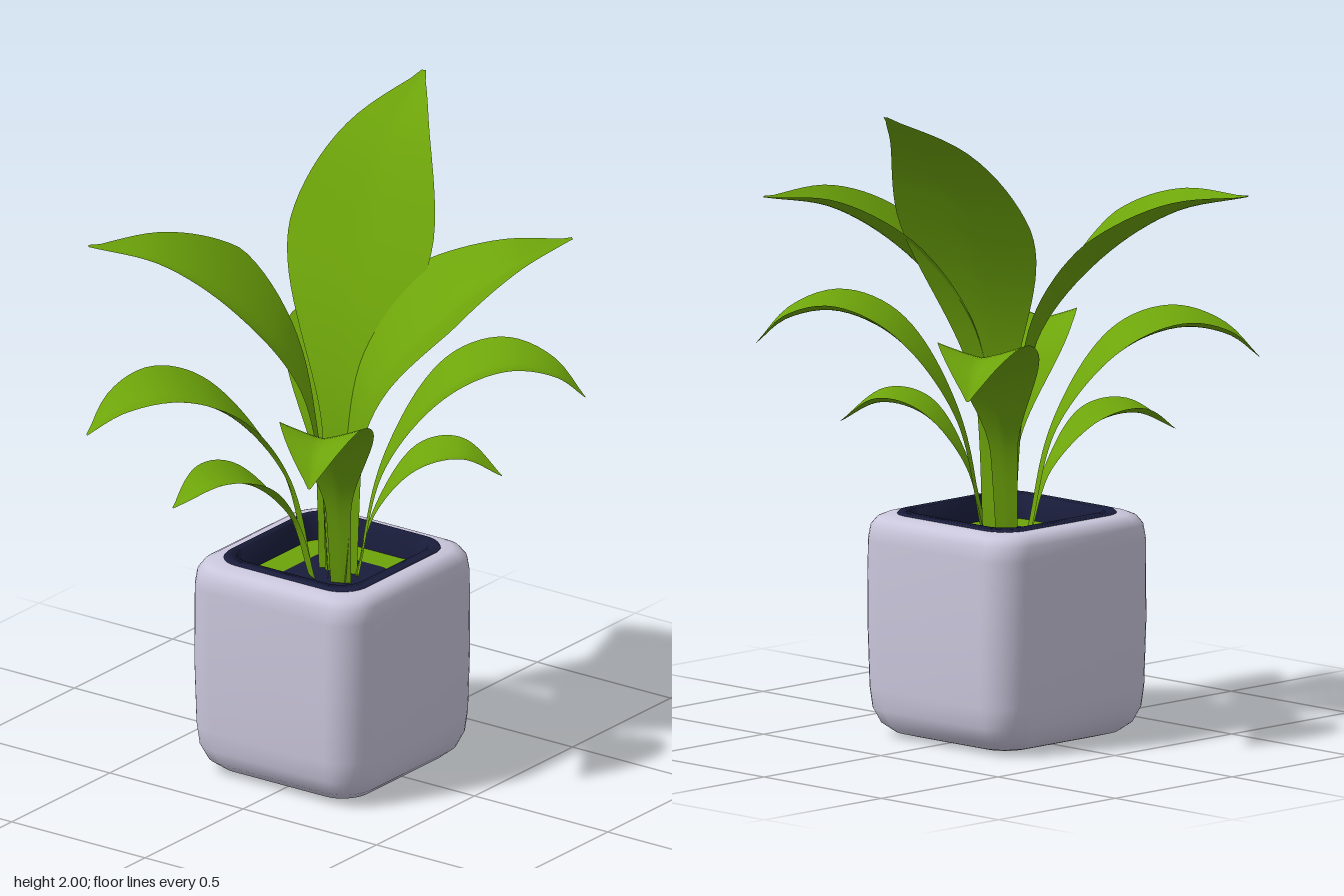
import * as THREE from 'three';

const leafMat = new THREE.MeshStandardMaterial({ name: 'leaf green', color: 0x6da40a, side: THREE.DoubleSide });
const potMat = new THREE.MeshStandardMaterial({ name: 'pale lilac ceramic', color: 0xcac6dc });
const soilMat = new THREE.MeshStandardMaterial({ name: 'dark navy lining', color: 0x1a1d3c });

// Indexed grid surface from equal-length rows of points
function gridSurface(rows, closed) {
  const n = rows[0].length, idx = [];
  const cols = closed ? n : n - 1;
  for (let i = 0; i < rows.length - 1; i++) {
    for (let j = 0; j < cols; j++) {
      const a = i * n + j, b = i * n + (j + 1) % n, c = a + n, d = b + n;
      idx.push(a, c, b, b, c, d);
    }
  }
  const g = new THREE.BufferGeometry();
  g.setAttribute('position', new THREE.Float32BufferAttribute(rows.flat(2), 3));
  g.setIndex(idx);
  g.computeVertexNormals();
  return g;
}

// Rounded-square ring at height y, slightly deeper than wide
function ring(y, half, radius) {
  const pts = [], steps = 8, c = half - radius;
  for (let q = 0; q < 4; q++) {
    const sx = q === 0 || q === 3 ? 1 : -1, sz = q < 2 ? 1 : -1;
    for (let k = 0; k <= steps; k++) {
      const a = (q + k / steps) * Math.PI / 2;
      pts.push([sx * c + radius * Math.cos(a), y, (sz * c + radius * Math.sin(a)) * 1.03]);
    }
  }
  return pts;
}

// Stack of rounded squares: [height, half width], corners in proportion
const loft = sections => gridSurface(sections.map(([y, half]) => ring(y, half, half * 0.34)), true);

// Half-width of a leaf at t: slim stalk, broad blade, point (taper 1 is straight, 2 is round)
function widthAt(t, taper) {
  const peak = 0.64, stalk = 0.22 + 0.22 * t;
  const blade = THREE.MathUtils.smoothstep(t, 0.25, peak);
  const point = 1 - Math.max(0, (t - peak) / (1 - peak)) ** taper;
  return Math.max(0.03, (stalk + (1 - stalk) * blade) * point);
}

// Rib shapes: [share of the reach, share of the height above the base]
const BASE_Y = 0.6;
const upright = [[0, 0], [0.03, 0.28], [0.17, 0.5], [0.42, 0.72], [0.7, 0.9], [1, 1]];
const arching = [[0, 0], [0.04, 0.37], [0.13, 0.6], [0.38, 0.81], [0.69, 0.95], [1, 1]];
const drooping = [[0, 0], [0.12, 0.63], [0.38, 1.04], [0.65, 1.18], [0.87, 1.13], [1, 1]];
const low = [[0, 0], [0.14, 0.65], [0.42, 1.08], [0.73, 1.18], [1, 1]];

// Leaf swept along its rib from base to tip, edges raised, rib bowed sideways
function leafGeometry({ shape, base, tip, half, lift = 0.045, bow = 0, taper = 2.2 }) {
  const dx = tip[0] - base[0], dz = tip[2] - base[1], reach = Math.hypot(dx, dz);
  const sx = -dz / reach, sz = dx / reach;
  const curve = new THREE.CatmullRomCurve3(shape.map(([f, h]) => {
    const b = bow * Math.sin(Math.PI * f);
    return new THREE.Vector3(base[0] + dx * f + sx * b, BASE_Y + (tip[1] - BASE_Y) * h, base[1] + dz * f + sz * b);
  }));
  const rows = [], along = 40, across = 12;
  for (let i = 0; i <= along; i++) {
    const p = curve.getPointAt(i / along), share = widthAt(i / along, taper);
    const row = [];
    for (let j = 0; j <= across; j++) {
      const s = j / across * 2 - 1, w = half * share * s;
      row.push([p.x + sx * w, p.y + lift * share * Math.abs(s) ** 1.2, p.z + sz * w]);
    }
    rows.push(row);
  }
  return gridSurface(rows, false);
}

const leaves = {
  tallBackLeaf: { shape: upright, base: [0, 0], tip: [-0.16, 2, -0.64], half: 0.235, lift: 0.02, bow: -0.045, taper: 1.6 },
  tallFrontLeaf: { shape: arching, base: [-0.02, 0.04], tip: [-0.61, 1.67, 0.46], half: 0.28, lift: 0.1, taper: 1.15 },
  tallSideLeaf: { shape: arching, base: [0.03, 0.04], tip: [0.5, 1.65, -0.5], half: 0.27, lift: 0.09, bow: 0.1, taper: 1.15 },
  middleFrontLeftLeaf: { shape: drooping, base: [0.05, 0.07], tip: [0.27, 1.11, 0.53], half: 0.14 },
  middleFrontRightLeaf: { shape: drooping, base: [-0.06, 0.07], tip: [-0.49, 1.14, 0.63], half: 0.17 },
  middleBackLeftLeaf: { shape: drooping, base: [0.06, 0], tip: [0.6, 1.18, -0.43], half: 0.16 },
  middleBackRightLeaf: { shape: drooping, base: [-0.05, -0.01], tip: [-0.39, 1.14, -0.52], half: 0.15 },
  lowFrontLeaf: { shape: low, base: [-0.05, 0.08], tip: [-0.27, 0.91, 0.49], half: 0.11, lift: 0.035 },
  lowBackLeaf: { shape: low, base: [0.06, 0.01], tip: [0.42, 0.94, -0.25], half: 0.11, lift: 0.035 },
};

function addMesh(parent, name, geometry, material) {
  const mesh = new THREE.Mesh(geometry, material);
  mesh.name = name;
  parent.add(mesh);
}

export function createModel() {
  const model = new THREE.Group();
  model.name = 'pottedPlant';

  // Pot: soft-edged cube with a lined, shallow opening
  const pot = new THREE.Group();
  pot.name = 'pot';
  pot.position.set(-0.015, 0, 0.025);
  model.add(pot);
  addMesh(pot, 'potBody', loft([
    [0, 0.0005], [0, 0.22], [0.012, 0.262], [0.04, 0.295], [0.085, 0.314], [0.15, 0.321],
    [0.35, 0.326], [0.6, 0.325], [0.645, 0.319], [0.668, 0.304], [0.678, 0.284], [0.68, 0.255],
  ]), potMat);
  addMesh(pot, 'potLining', loft([[0.678, 0.258], [0.687, 0.252], [0.687, 0.225], [0.605, 0.218]]), soilMat);

  // Bare soil round the stems, ground cover out to the corners
  addMesh(pot, 'soil', loft([[0.61, 0.13], [0.61, 0.0005]]), soilMat);
  addMesh(pot, 'groundCover', loft([[0.61, 0.222], [0.61, 0.13]]), leafMat);

  // Leaves in three tiers
  const foliage = new THREE.Group();
  foliage.name = 'foliage';
  model.add(foliage);
  for (const [name, spec] of Object.entries(leaves)) addMesh(foliage, name, leafGeometry(spec), leafMat);

  return model;
}
